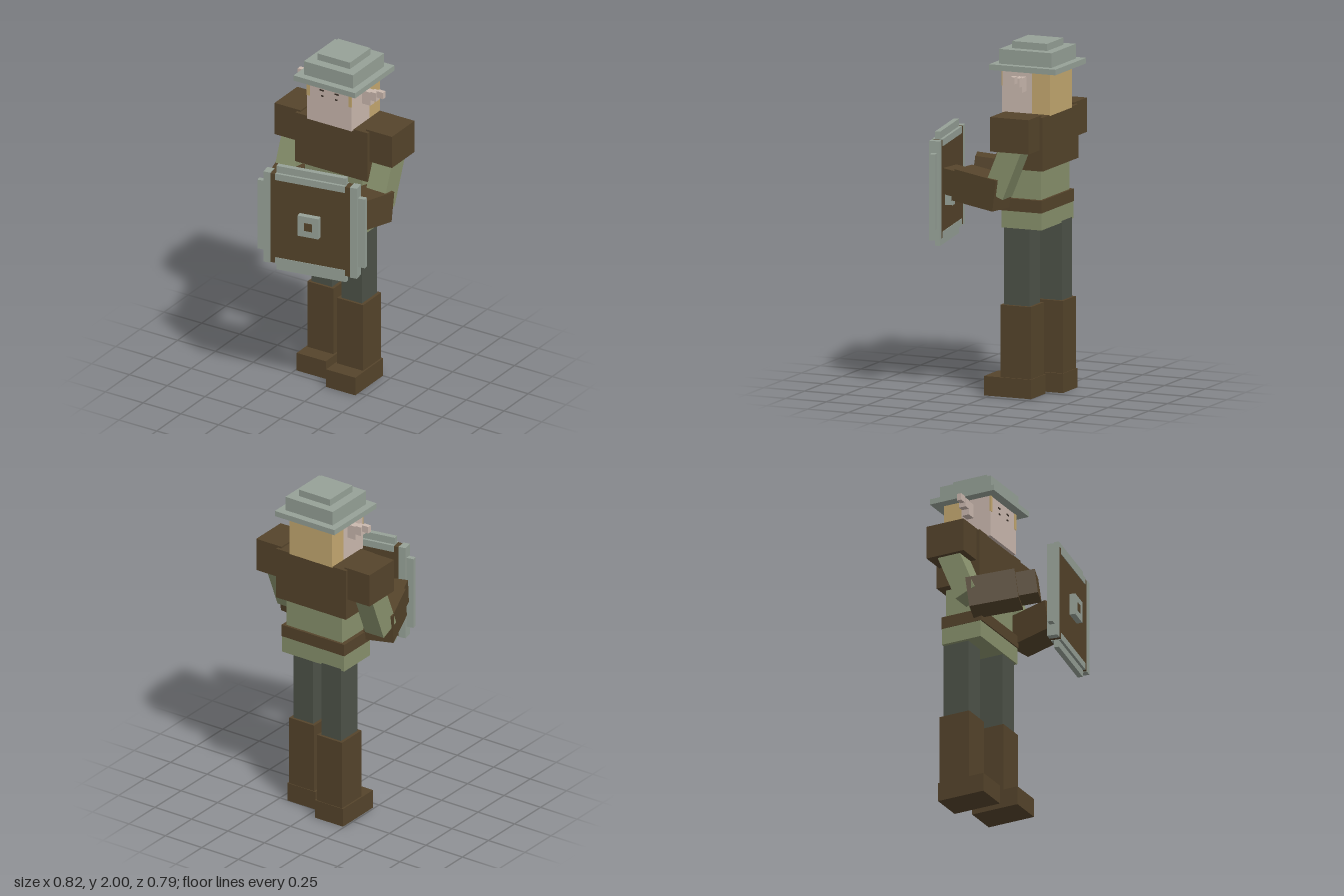
import * as THREE from 'three';

const material = (name, color) => {
  const m = new THREE.MeshStandardMaterial({ color });
  m.name = name;
  return m;
};

export function createModel() {
  const brown = material('leather brown', 0x55442b);
  const steel = material('steel grey', 0x96a197);
  const green = material('tunic green', 0x88916c);
  const charcoal = material('trouser charcoal', 0x4d5248);
  const skin = material('skin', 0xcab8ae);
  const blond = material('hair blond', 0xc4a870);
  const dark = material('eye dark', 0x3a3028);

  const model = new THREE.Group();
  model.name = 'guard';
  const CX = -0.0215; // body centre line

  // Box given by its low and high limits on each axis
  const box = (parent, name, mat, [x0, x1], [y0, y1], [z0, z1]) => {
    const mesh = new THREE.Mesh(new THREE.BoxGeometry(x1 - x0, y1 - y0, z1 - z0), mat);
    mesh.position.set((x0 + x1) / 2, (y0 + y1) / 2, (z0 + z1) / 2);
    mesh.name = name;
    parent.add(mesh);
    return mesh;
  };
  const group = (parent, name, x, y, z) => {
    const g = new THREE.Group();
    g.name = name;
    g.position.set(x, y, z);
    parent.add(g);
    return g;
  };
  // Limits mirrored to either side
  const side = (s, a, b) => (s > 0 ? [a, b] : [-b, -a]);

  const body = group(model, 'body', CX, 0, 0);

  // Stepped helmet
  box(body, 'helmetBrim', steel, [-0.204, 0.204], [1.845, 1.877], [-0.395, 0.012]);
  box(body, 'helmetBand', steel, [-0.162, 0.162], [1.877, 1.96], [-0.352, -0.03]);
  box(body, 'helmetCrown', steel, [-0.107, 0.107], [1.96, 2.0], [-0.3, -0.085]);

  // Head, hair and face
  box(body, 'face', skin, [-0.147, 0.147], [1.6, 1.848], [-0.225, -0.04]);
  box(body, 'hair', blond, [-0.147, 0.147], [1.6, 1.848], [-0.335, -0.225]);
  for (const s of [-1, 1]) {
    box(body, 'foreheadHair', blond, side(s, 0.128, 0.148), [1.75, 1.846], [-0.045, -0.037]);
    box(body, 'brow', dark, side(s, 0.036, 0.062), [1.801, 1.809], [-0.042, -0.036]);
    box(body, 'eye', dark, side(s, 0.038, 0.052), [1.766, 1.774], [-0.042, -0.036]);
    // Pointed ear in three steps
    box(body, 'earBase', skin, side(s, 0.14, 0.203), [1.73, 1.812], [-0.19, -0.147]);
    box(body, 'earMiddle', skin, side(s, 0.203, 0.24), [1.765, 1.818], [-0.19, -0.147]);
    box(body, 'earTip', skin, side(s, 0.24, 0.282), [1.79, 1.83], [-0.18, -0.153]);
  }

  // Torso
  box(body, 'chest', brown, [-0.239, 0.239], [1.3, 1.605], [-0.333, -0.06]);
  box(body, 'waist', green, [-0.19, 0.19], [1.12, 1.31], [-0.3, -0.085]);
  box(body, 'belt', brown, [-0.215, 0.215], [1.057, 1.128], [-0.315, -0.06]);
  box(body, 'tunicSkirt', green, [-0.213, 0.213], [0.96, 1.057], [-0.313, -0.067]);

  // Legs: the right one stands a little further back
  for (const s of [-1, 1]) {
    const leg = group(body, s > 0 ? 'leftLeg' : 'rightLeg', 0, 0, s > 0 ? 0 : -0.082);
    box(leg, 'trouser', charcoal, side(s, 0.057, 0.192), [0.5, 0.97], [-0.232, -0.075]);
    box(leg, 'bootShaft', brown, side(s, 0.039, 0.21), [0.1, 0.52], [-0.248, -0.06]);
    box(leg, 'bootFoot', brown, side(s, 0.027, 0.22), [0, 0.11], [-0.252, 0.036]);
  }

  // Arms: both bend forward and turn inward
  for (const [s, turn, x, z] of [[1, -0.165, 0.297, -0.115], [-1, 0.349, -0.29, -0.095]]) {
    const arm = group(body, s > 0 ? 'leftArm' : 'rightArm', 0, 0, 0);
    box(arm, 'shoulderPad', brown, side(s, 0.216, 0.388), [1.42, 1.615], [-0.315, -0.08]);
    const upper = group(arm, 'upperArm', s * 0.3, 1.42, -0.187);
    upper.rotation.x = -0.39;
    box(upper, 'sleeve', green, [-0.064, 0.064], [-0.27, 0.08], [-0.065, 0.065]);
    const fore = group(arm, 'forearm', x, 1.167, z);
    fore.rotation.set(-0.13, turn, 0, 'YXZ');
    box(fore, 'bracer', brown, [-0.086, 0.086], [-0.09, 0.09], [0, 0.28]);
    box(fore, 'hand', brown, [-0.068, 0.068], [-0.073, 0.073], [0.26, s > 0 ? 0.37 : 0.39]);
  }

  // Shield, built facing +z then turned
  const shield = group(model, 'shield', 0.09, 1.17, 0.313);
  shield.rotation.y = 0.178;
  box(shield, 'shieldBoard', brown, [-0.25, 0.25], [-0.278, 0.278], [-0.028, 0.028]);
  for (const s of [-1, 1]) {
    box(shield, 'sideRim', steel, side(s, 0.24, 0.282), [-0.282, 0.282], [-0.03, 0.03]);
    box(shield, 'sideEdge', steel, side(s, 0.282, 0.324), [-0.215, 0.215], [-0.015, 0.015]);
    box(shield, 'endRim', steel, [-0.21, 0.21], side(s, 0.242, 0.282), [-0.031, 0.031]);
    box(shield, 'endEdge', steel, [-0.21, 0.21], side(s, 0.282, 0.324), [-0.015, 0.015]);
  }
  box(shield, 'boss', steel, [-0.063, 0.063], [-0.063, 0.063], [0.02, 0.062]);
  box(shield, 'bossStud', brown, [-0.024, 0.024], [-0.024, 0.024], [0.058, 0.065]);
  box(shield, 'handle', steel, [0.114, 0.158], [-0.1, 0.1], [-0.075, -0.02]);

  return model;
}
